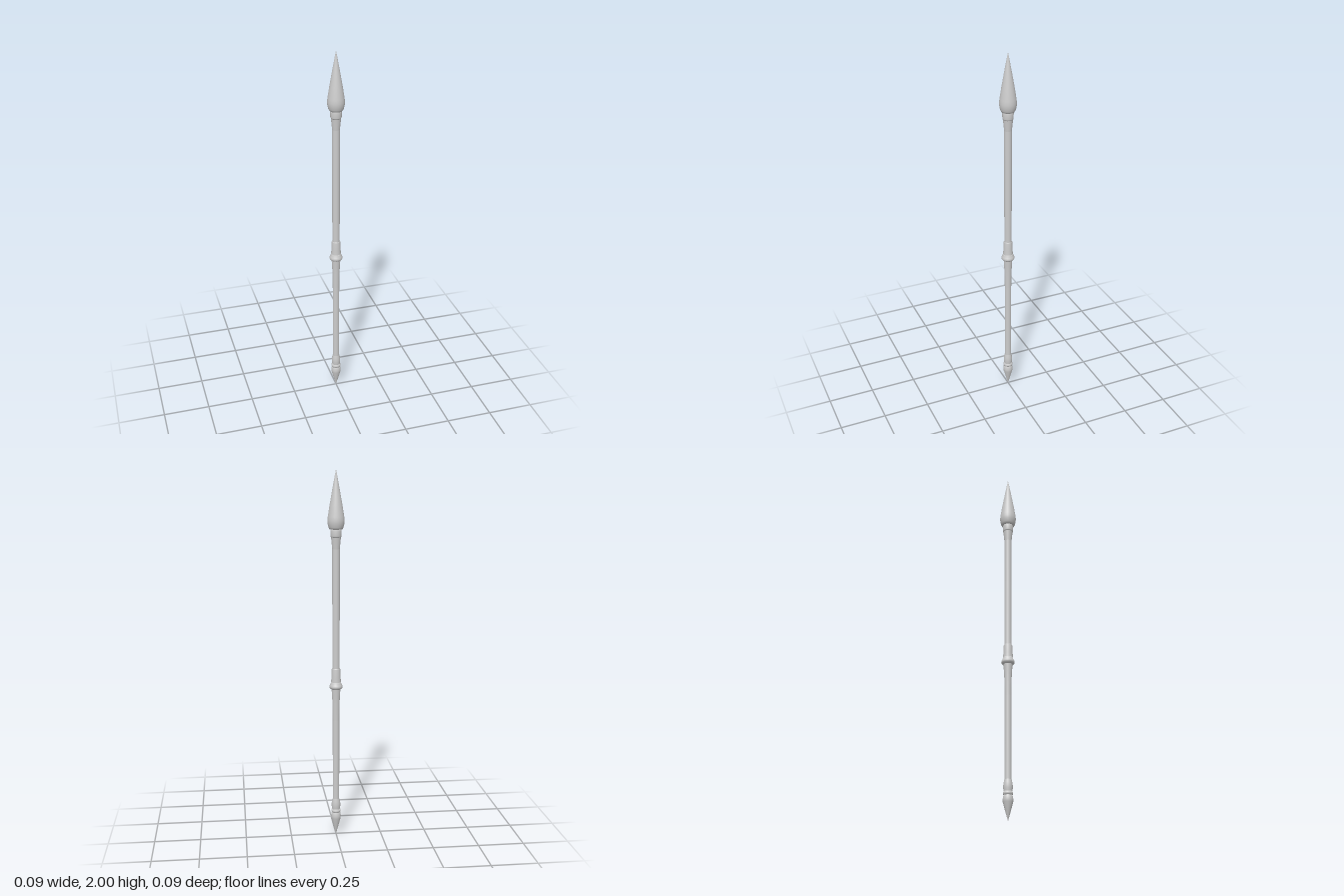
import * as THREE from 'three';

const SIDES = 24;

export function createModel() {
  const group = new THREE.Group();
  group.name = 'spear';
  const material = new THREE.MeshStandardMaterial({ color: 0xcccccc });

  // Turned part from [radius, height] pairs, listed bottom to top
  const turned = (name, profile) => {
    const points = profile.map(([r, y]) => new THREE.Vector2(r, y));
    const mesh = new THREE.Mesh(new THREE.LatheGeometry(points, SIDES), material);
    mesh.name = name;
    group.add(mesh);
  };

  // Pointed foot with a rounded shoulder
  turned('buttSpike', [[0, 0], [0.014, 0.05], [0.026, 0.095], [0.027, 0.108],
    [0.025, 0.122], [0.021, 0.134], [0, 0.134]]);

  // Stepped collar above the foot
  turned('buttRing', [[0, 0.13], [0.023, 0.13], [0.026, 0.136], [0.026, 0.142], [0.022, 0.15], [0, 0.15]]);
  turned('buttCollar', [[0.022, 0.148], [0.024, 0.165], [0.024, 0.18], [0.022, 0.195], [0.019, 0.21]]);

  // Two lengths of shaft
  turned('lowerShaft', [[0.018, 0.13], [0.018, 0.84]]);
  turned('upperShaft', [[0.02, 0.84], [0.02, 1.68]]);

  // Middle grip: flared sleeves on both sides of a raised ring
  turned('lowerSleeve', [[0.018, 0.66], [0.0195, 0.76], [0.022, 0.8], [0.024, 0.84]]);
  turned('middleRing', [[0, 0.836], [0.027, 0.836], [0.034, 0.842], [0.036, 0.85],
    [0.033, 0.858], [0.028, 0.868], [0.026, 0.878], [0, 0.878]]);
  turned('upperSleeve', [[0.027, 0.87], [0.025, 0.9], [0.0235, 0.945], [0.02, 0.95]]);

  // Socket and collar carrying the head
  turned('headSocket', [[0.02, 1.59], [0.023, 1.62], [0.026, 1.652]]);
  turned('headCollar', [[0, 1.65], [0.026, 1.65], [0.029, 1.657], [0.029, 1.684], [0.026, 1.694], [0, 1.694]]);

  // Long conical head with a rounded base
  turned('spearhead', [[0, 1.69], [0.034, 1.692], [0.04, 1.703], [0.044, 1.722],
    [0.045, 1.738], [0.043, 1.757], [0.034, 1.815], [0.018, 1.905], [0, 2]]);

  return group;
}
